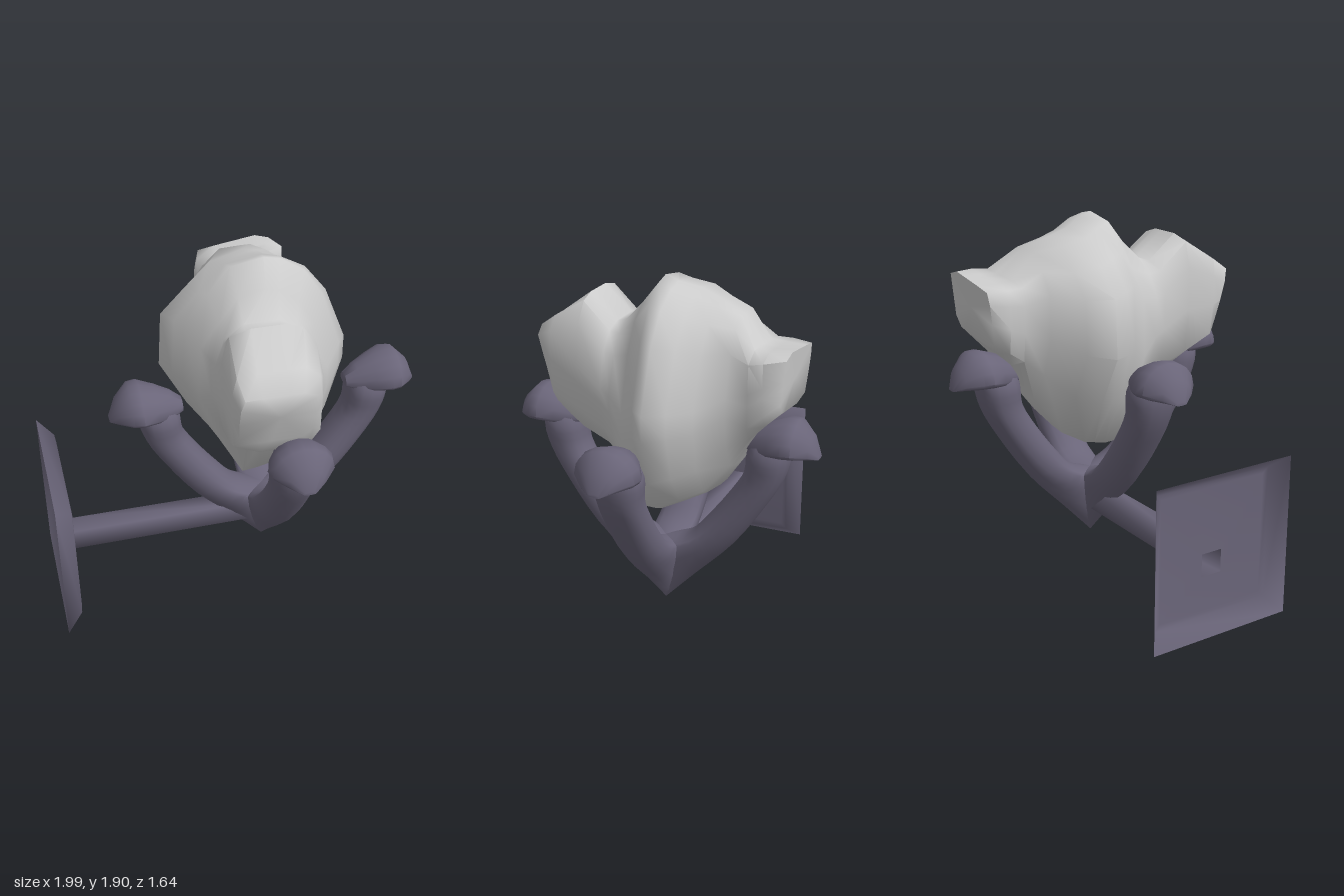
import * as THREE from 'three';
import { toCreasedNormals } from 'three/addons/utils/BufferGeometryUtils.js';

const metal = new THREE.MeshStandardMaterial({ color: 0x6a6579 });
const mountMetal = new THREE.MeshStandardMaterial({ color: 0x6a6579, side: THREE.DoubleSide });
const stone = new THREE.MeshStandardMaterial({ color: 0xcccccc });

// Skin through equal-length rings of [x, y, z], optionally closed with fans at both ends
function loft(rings, crease, capped = true) {
  const n = rings[0].length, last = rings.length - 1;
  const pos = rings.flat(), idx = [];
  for (let i = 0; i < last; i++) {
    for (let j = 0; j < n; j++) {
      const a = i * n + j, b = i * n + (j + 1) % n;
      idx.push(a, b, b + n, a, b + n, a + n);
    }
  }
  if (capped) {
    for (const i of [0, last]) {
      const c = pos.length;
      pos.push([0, 1, 2].map(k => rings[i].reduce((s, p) => s + p[k], 0) / n));
      for (let j = 0; j < n; j++) {
        const a = i * n + j, b = i * n + (j + 1) % n;
        if (i === 0) idx.push(c, b, a); else idx.push(c, a, b);
      }
    }
  }
  // Turn the faces outward if the enclosed volume comes out negative
  let volume = 0;
  const v = pos.map(p => new THREE.Vector3(...p));
  for (let i = 0; i < idx.length; i += 3) {
    volume += v[idx[i]].dot(v[idx[i + 1]].clone().cross(v[idx[i + 2]]));
  }
  if (volume < 0) idx.reverse();
  const g = new THREE.BufferGeometry();
  g.setAttribute('position', new THREE.Float32BufferAttribute(pos.flat(), 3));
  g.setIndex(idx);
  return toCreasedNormals(g, crease);
}

function named(name, geometry, material) {
  const m = new THREE.Mesh(geometry, material);
  m.name = name;
  return m;
}

const softPow = (v, e) => Math.sign(v) * Math.abs(v) ** e;
const circle = n => Array.from({ length: n }, (_, j) => {
  const a = j / n * Math.PI * 2;
  return [Math.cos(a), Math.sin(a)];
});

// Arm sections: outer radius, height, half width; inner radius, height, where the section is widest
const ARM = [
  [0, 0.11, 0.10, 0, 0.49, 0.1],
  [0.17, 0.29, 0.11, 0.12, 0.53, 0.15],
  [0.38, 0.51, 0.11, 0.23, 0.64, 0.4],
  [0.545, 0.75, 0.11, 0.365, 0.82, 0.5],
  [0.645, 0.93, 0.115, 0.44, 0.95, 0.5],
  [0.675, 1.06, 0.125, 0.455, 1.07, 0.5],
  [0.66, 1.16, 0.08, 0.49, 1.16, 0.5],
];

function armGeometry() {
  const outer = new THREE.CatmullRomCurve3(ARM.map(s => new THREE.Vector3(s[0], s[1], s[2])));
  const inner = new THREE.CatmullRomCurve3(ARM.map(s => new THREE.Vector3(s[3], s[4], s[5])));
  const rings = Array.from({ length: 19 }, (_, i) => {
    const o = outer.getPoint(i / 18), n = inner.getPoint(i / 18);
    const widest = n.z, e = 1.35 - widest; // keeled at the hub, rounded above
    return circle(16).map(([c, s]) => {
      const k = softPow(c, e);
      const t = widest + k * (k > 0 ? 1 - widest : widest);
      return [n.x + (o.x - n.x) * t, n.y + (o.y - n.y) * t, o.z * softPow(s, e)];
    });
  });
  return loft(rings, 0.9);
}

// Claw head sections: radius, bottom, top, half width
const HEAD = [
  [0.44, 1.08, 1.14, 0.05],
  [0.50, 1.06, 1.19, 0.09],
  [0.58, 1.06, 1.23, 0.13],
  [0.66, 1.07, 1.257, 0.165],
  [0.71, 1.07, 1.255, 0.155],
  [0.78, 1.07, 1.185, 0.09],
  [0.82, 1.068, 1.085, 0.03],
];

function headGeometry() {
  const rings = HEAD.map(([r, yb, yt, w]) => circle(16).map(([c, s]) => {
    const mid = yb + (yt - yb) * 0.25;
    return [r, mid + s * (s > 0 ? yt - mid : mid - yb), w * c];
  }));
  return loft(rings, 0.9);
}

// Outline of the boulder, scaled to -1..1 both ways
const OUTLINE = [
  [-0.96, 0.48], [-0.68, 0.72], [-0.4, 0.95], [0, 1], [0.2, 0.97], [0.5, 0.84], [0.75, 0.59], [1, 0.09], [1, -0.14],
  [0.86, -0.55], [0.63, -0.84], [0.46, -0.9], [-0.07, -0.98], [-0.32, -1], [-0.69, -0.55], [-1, -0.06],
];

// Boulder sections: z, x range, y range, squareness of the -x and +x sides, forward lean, sideways tilt
const ROCK = [
  [0.645, -0.13, 0.24, 1.25, 1.57, 0.45, 0.4, 0.045, 0],
  [0.58, -0.15, 0.29, 1.17, 1.64, 0.45, 0.3, 0.01, 0],
  [0.41, -0.155, 0.35, 1.05, 1.77, 0.4, 0.1, 0, 0],
  [0.26, -0.15, 0.38, 1.0, 1.64, 0.35, 0.1, 0, 0],
  [0.20, -0.16, 0.41, 0.93, 1.66, 0.2, 0, 0, 0],
  [0.10, -0.2, 0.48, 0.67, 1.78, 0, 0, 0, 0],
  [0, -0.26, 0.57, 0.67, 1.9, 0, 0, 0, 0],
  [-0.07, -0.3, 0.62, 0.69, 1.875, 0, 0, 0, 0],
  [-0.17, -0.35, 0.56, 0.73, 1.84, 0, 0, 0, 0],
  [-0.28, -0.25, 0.49, 0.79, 1.80, 0, 0, 0, 0],
  [-0.41, -0.12, 0.41, 0.98, 1.75, 0.1, 0.1, 0, 0],
  [-0.52, -0.06, 0.41, 1.18, 1.62, 0.4, 0.4, 0, 0.015],
  [-0.6, -0.06, 0.43, 1.26, 1.62, 0.45, 0.45, 0, 0.025],
  [-0.685, -0.03, 0.38, 1.32, 1.62, 0.45, 0.45, -0.015, 0.03],
];

function rockGeometry() {
  const rings = ROCK.map(([z, x0, x1, y0, y1, squareA, squareB, lean, tilt]) => OUTLINE.map(([u, v]) => {
    const square = THREE.MathUtils.lerp(squareA, squareB, (u + 1) / 2);
    const k = (1 + square * (1 / Math.max(Math.abs(u), Math.abs(v)) - 1)) * (1 + square * 0.35);
    const a = THREE.MathUtils.clamp(u * k, -1, 1), b = THREE.MathUtils.clamp(v * k, -1, 1);
    return [(x0 + x1) / 2 + a * (x1 - x0) / 2, (y0 + y1) / 2 + b * (y1 - y0) / 2 + tilt * a, z + lean * b];
  }));
  return loft(rings, 1.25);
}

// Open-backed bevelled wall plate running into a hollow square rod
function mountGeometry() {
  const square = (x, y, hy, hz) => [[-1, -1], [1, -1], [1, 1], [-1, 1]].map(([a, b]) => [x, y + a * hy, b * hz]);
  return {
    plate: loft([
      square(-1, 0.42, 0.42, 0.4),
      square(-0.915, 0.42, 0.35, 0.335),
      square(-0.91, 0.42, 0.32, 0.305),
      square(-0.91, 0.34, 0.06, 0.058),
    ], 1.2, false),
    rod: loft([square(-0.91, 0.34, 0.06, 0.058), square(0.1, 0.34, 0.058, 0.056)], 1.7, false),
  };
}

export function createModel() {
  const model = new THREE.Group();
  model.name = 'wallClawWithBoulder';

  const { plate, rod } = mountGeometry();
  model.add(named('wallPlate', plate, mountMetal), named('supportRod', rod, mountMetal));

  // Four claws meeting in a point
  const arm = armGeometry(), head = headGeometry();
  const claws = new THREE.Group();
  claws.name = 'claws';
  claws.position.x = 0.17;
  for (let i = 0; i < 4; i++) {
    const claw = new THREE.Group();
    claw.name = 'claw';
    claw.rotation.y = i * Math.PI / 2;
    claw.add(named('clawArm', arm, metal), named('clawHead', head, metal));
    claws.add(claw);
  }
  model.add(claws, named('boulder', rockGeometry(), stone));
  return model;
}
